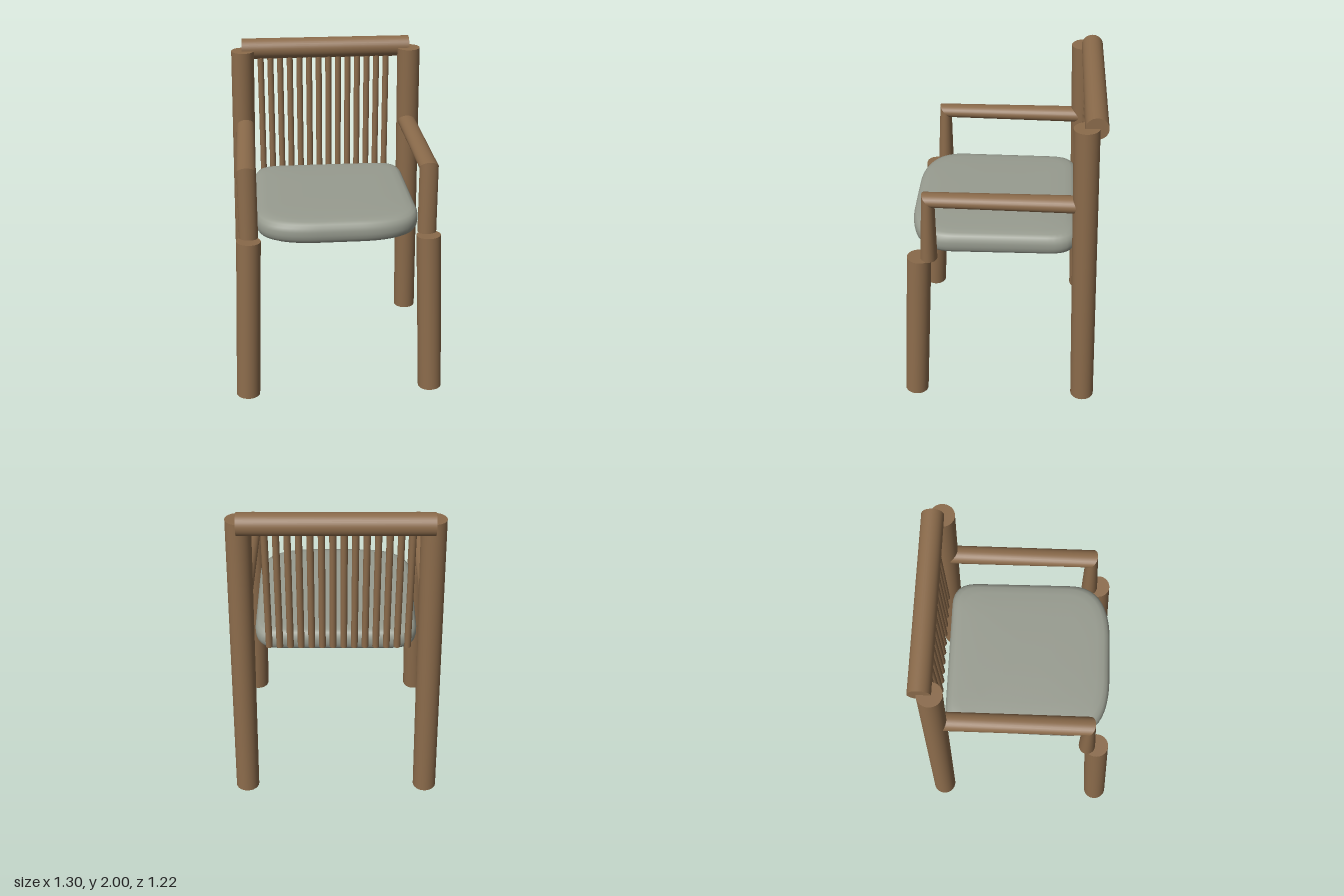
import * as THREE from 'three';

const wood = new THREE.MeshStandardMaterial({ color: 0x8b6b4b });
wood.name = 'warm wood';
const fabric = new THREE.MeshStandardMaterial({ color: 0x989c90 });
fabric.name = 'grey fabric';

const V = (x, y, z) => new THREE.Vector3(x, y, z);

// Round bar between two points
function bar(name, from, to, radius, sides = 32) {
  const dir = to.clone().sub(from);
  const mesh = new THREE.Mesh(new THREE.CylinderGeometry(radius, radius, dir.length(), sides), wood);
  mesh.position.copy(from).add(to).multiplyScalar(0.5);
  mesh.quaternion.setFromUnitVectors(V(0, 1, 0), dir.normalize());
  mesh.name = name;
  return mesh;
}

// Smooth skin through closed rings of points, with flat caps at both ends
function loft(name, rings, material) {
  const n = rings[0].length;
  const points = rings.flat();
  const index = [];
  for (let k = 0; k < rings.length - 1; k++) {
    for (let i = 0; i < n; i++) {
      const a = k * n + i, b = k * n + (i + 1) % n;
      index.push(a, a + n, b, b, a + n, b + n);
    }
  }
  [rings[0], rings[rings.length - 1]].forEach((ring, end) => {
    const centre = points.length;
    const mid = ring.reduce((s, p) => s.add(p), V(0, 0, 0)).divideScalar(n);
    points.push(mid, ...ring);
    for (let i = 0; i < n; i++) {
      const a = centre + 1 + i, b = centre + 1 + (i + 1) % n;
      index.push(centre, end ? b : a, end ? a : b);
    }
  });
  const geometry = new THREE.BufferGeometry().setFromPoints(points);
  geometry.setIndex(index);
  geometry.computeVertexNormals();
  const mesh = new THREE.Mesh(geometry, material);
  mesh.name = name;
  return mesh;
}

// Elliptical ring: half width along x, the other half axis given in z and y
function ellipse(x, y, z, axisY, axisZ, sides = 28) {
  return Array.from({ length: sides }, (_, i) => {
    const a = (i / sides) * Math.PI * 2;
    return V(x + 0.057 * Math.cos(a), y + axisY * Math.sin(a), z + axisZ * Math.sin(a));
  });
}

// Seat cushion: rounded outline, scaled ring by ring up a soft profile
function cushion() {
  const s = new THREE.Shape();
  s.moveTo(0.34, -0.46);
  s.bezierCurveTo(0.44, -0.46, 0.485, -0.42, 0.49, -0.31);
  s.lineTo(0.497, 0.3);
  s.bezierCurveTo(0.497, 0.47, 0.38, 0.55, 0.15, 0.555);
  s.lineTo(-0.15, 0.555);
  s.bezierCurveTo(-0.38, 0.55, -0.497, 0.47, -0.497, 0.3);
  s.lineTo(-0.49, -0.31);
  s.bezierCurveTo(-0.485, -0.42, -0.44, -0.46, -0.34, -0.46);
  s.lineTo(0.34, -0.46);
  const outline = s.getSpacedPoints(96).slice(0, -1);
  const profile = [ // inset, height
    [0.06, 1.02], [0.035, 1.023], [0.015, 1.036], [0.004, 1.056], [0, 1.08], [0, 1.105],
    [0.005, 1.128], [0.018, 1.146], [0.04, 1.156], [0.08, 1.161], [0.18, 1.164], [0.34, 1.166], [0.46, 1.166],
  ];
  const rings = profile.map(([inset, y]) => {
    const k = 1 - inset / 0.5;
    return outline.map((p) => V(p.x * k, y, 0.05 + (p.y - 0.05) * k));
  });
  return loft('seatCushion', rings, fabric);
}

export function createModel() {
  const chair = new THREE.Group();
  chair.name = 'armchair';

  for (const side of [1, -1]) {
    const label = side > 0 ? 'left' : 'right';
    // Splayed legs; the back ones run up to the top rail
    chair.add(bar(label + 'FrontLeg', V(0.575 * side, 0.004, 0.54), V(0.54 * side, 1.033, 0.483), 0.073));
    chair.add(bar(label + 'BackLeg', V(0.575 * side, 0.004, -0.53), V(0.54 * side, 1.935, -0.475), 0.073));

    // Arm post and armrest meeting in a mitred corner
    const x = 0.539 * side;
    const corner = ellipse(x, 1.442, 0.4135, 0.04, 0.0365);
    chair.add(loft(label + 'ArmPost', [ellipse(x, 1.03, 0.425, 0, 0.051), corner], wood));
    chair.add(loft(label + 'Armrest', [corner, ellipse(x, 1.437, -0.46, 0.05, 0)], wood));
  }

  // Top rail
  chair.add(bar('topRail', V(-0.545, 1.934, -0.53), V(0.545, 1.934, -0.53), 0.066));

  // Back spindles
  const spindles = new THREE.Group();
  spindles.name = 'backSpindles';
  for (let i = 0; i < 14; i++) {
    const x = -0.425 + i * 0.0632;
    spindles.add(bar('spindle', V(x, 1.09, -0.5), V(x, 1.92, -0.515), 0.02, 16));
  }
  chair.add(spindles);

  chair.add(cushion());
  return chair;
}
